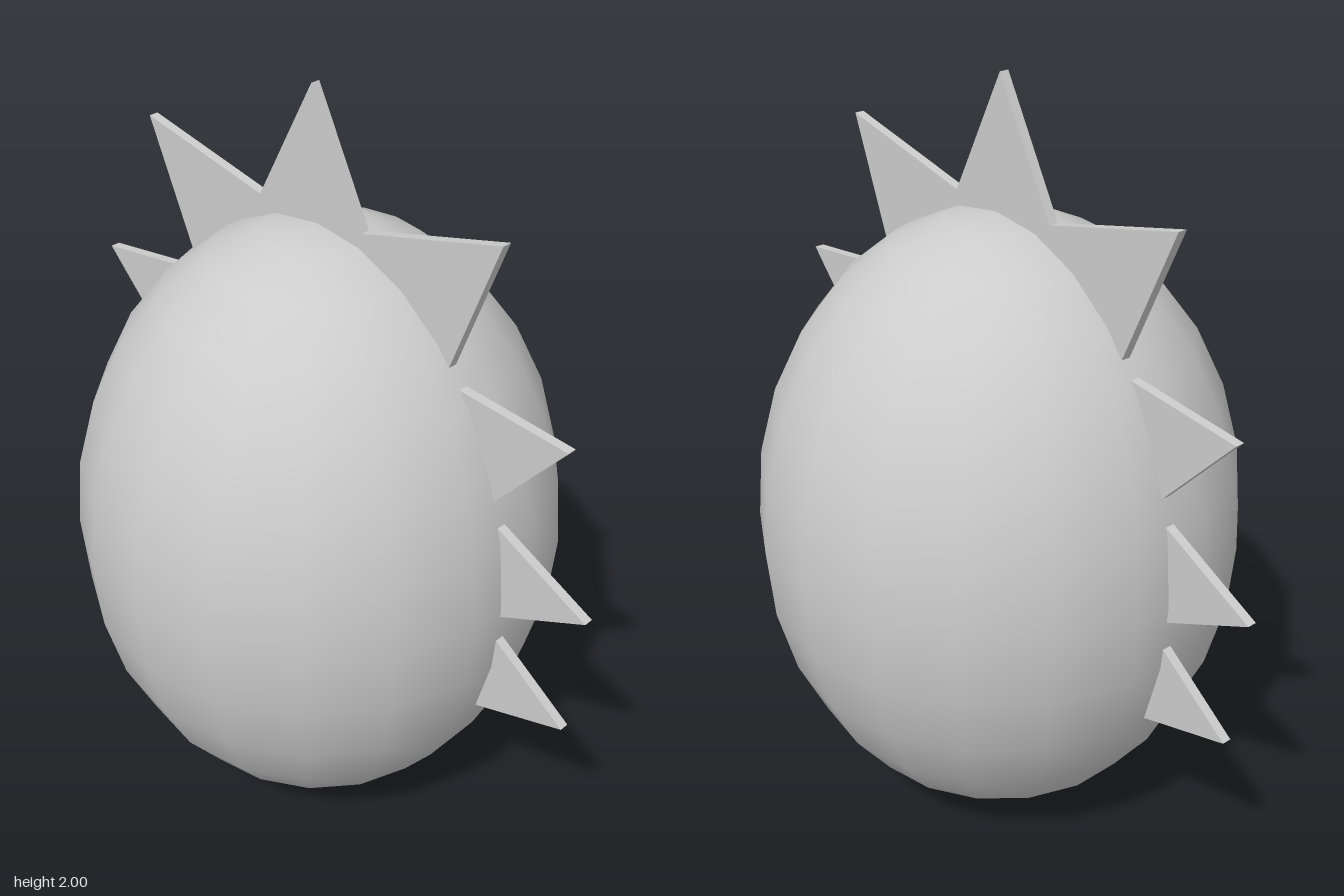
import * as THREE from 'three';

const THICKNESS = 0.026;

export function createModel() {
  const model = new THREE.Group();
  model.name = 'spikedEgg';
  const grey = new THREE.MeshStandardMaterial({ color: 0xcccccc });
  grey.name = 'light grey';

  // Flat plate cut from an outline, centred on z = 0
  function addPlate(name, outline) {
    const shape = new THREE.Shape(outline.map(([x, y]) => new THREE.Vector2(x, y)));
    const geometry = new THREE.ExtrudeGeometry(shape, { depth: THICKNESS, bevelEnabled: false });
    geometry.translate(0, 0, -THICKNESS / 2);
    const plate = new THREE.Mesh(geometry, grey);
    plate.name = name;
    model.add(plate);
  }

  // Egg-shaped body
  const bodyGeometry = new THREE.SphereGeometry(1, 18, 14);
  bodyGeometry.rotateY(Math.PI / 2);
  bodyGeometry.scale(0.633, 0.829, 0.633);
  bodyGeometry.translate(0, 0.832, 0);
  const body = new THREE.Mesh(bodyGeometry, grey);
  body.name = 'body';
  model.add(body);

  // Three joined spikes on top
  addPlate('crown', [
    [-0.4, 1.33], [-0.59, 1.765], [-0.19, 1.675], [-0.015, 2],
    [0.145, 1.68], [0.553, 1.787], [0.38, 1.32],
  ]);

  // Side spikes: upper base corner, tip, lower base corner at the body surface
  const spikes = {
    leftUpperSpike: [[0.46, 1.39], [0.77, 1.36], [0.58, 1.14]],
    leftMiddleSpike: [[0.59, 1.07], [0.863, 0.93], [0.61, 0.81]],
    leftLowerSpike: [[0.61, 0.74], [0.83, 0.58], [0.57, 0.495]],
    rightUpperSpike: [[-0.47, 1.375], [-0.79, 1.33], [-0.59, 1.12]],
    rightMiddleSpike: [[-0.59, 1.05], [-0.865, 0.9], [-0.61, 0.785]],
    rightLowerSpike: [[-0.61, 0.71], [-0.82, 0.545], [-0.56, 0.475]],
  };
  for (const [name, [upper, tip, lower]] of Object.entries(spikes)) {
    // Carry the sides on into the body so the base is buried
    const bury = (p) => p.map((v, i) => tip[i] + (v - tip[i]) * 1.15);
    addPlate(name, [bury(upper), tip, bury(lower)]);
  }

  return model;
}
